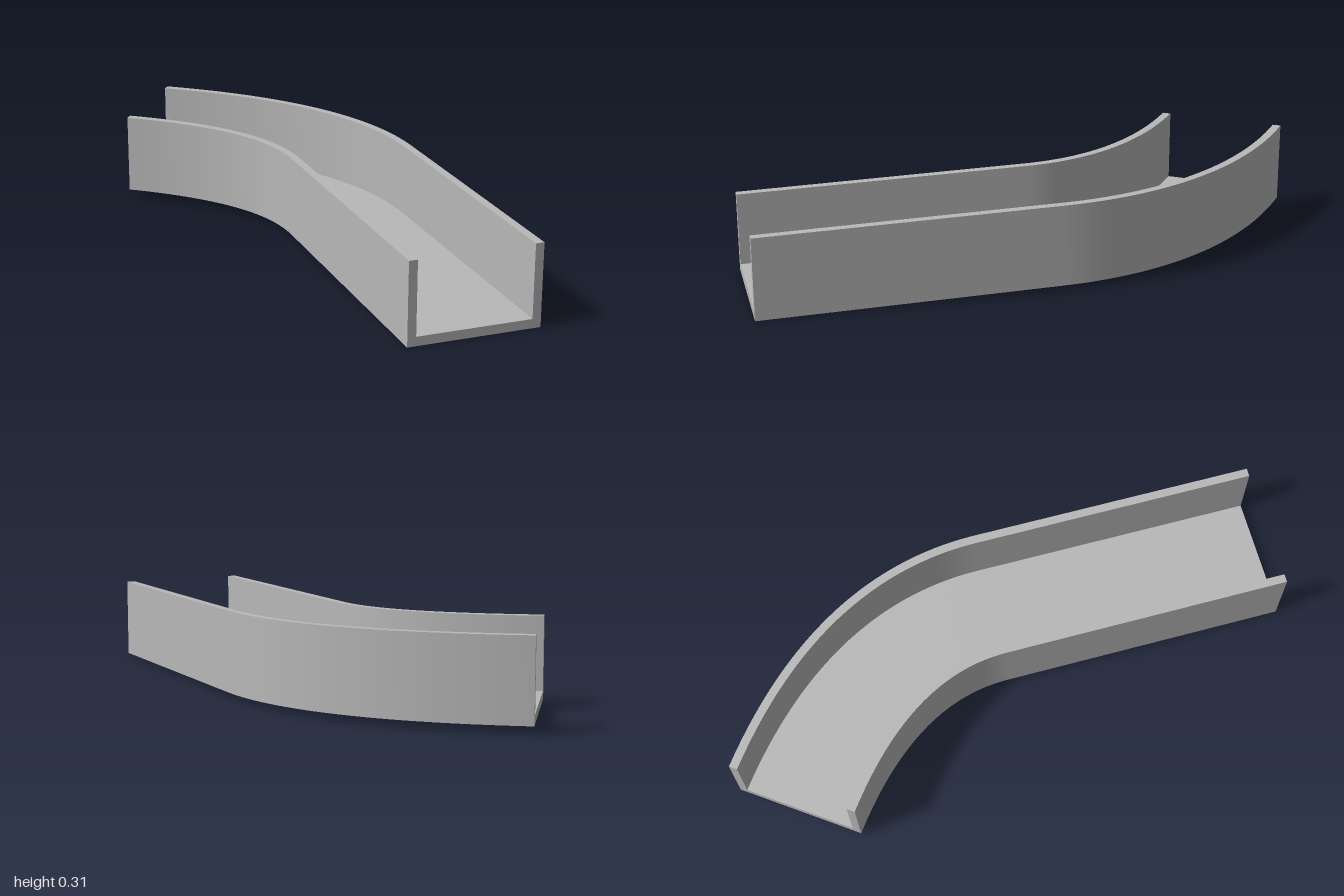
import * as THREE from 'three';

// Channel cross-section: half width, height, wall thickness, floor thickness
const W = 0.2245, H = 0.279, T = 0.029, F = 0.031;
const OUTLINE = [
  [-W, 0], [W, 0], [W, H], [W - T, H], [W - T, F], [T - W, F], [T - W, H], [-W, H],
].map(([x, y]) => new THREE.Vector2(x, y));

// Path: a gently rising straight run, then a bend towards -x
function makeRings() {
  const start = new THREE.Vector3(0.2025, 0, 1);
  const joint = new THREE.Vector3(0.2025, 0.016, 0);
  const bend = new THREE.QuadraticBezierCurve3(
    joint, new THREE.Vector3(0.2025, 0.023, -0.457), new THREE.Vector3(-0.3, 0.029, -0.818));
  const steps = 40;
  const rings = [];
  const addRing = (p, d) => {
    const side = new THREE.Vector3(-d.z, 0, d.x).normalize();
    rings.push(OUTLINE.map((o) => p.clone().addScaledVector(side, o.x).setY(p.y + o.y)));
  };
  addRing(start, new THREE.Vector3(0, 0, -1));
  for (let i = 0; i <= steps; i++) addRing(bend.getPoint(i / steps), bend.getTangent(i / steps));
  return rings;
}

function toGeometry(points, index) {
  const g = new THREE.BufferGeometry().setFromPoints(points);
  g.setIndex(index);
  g.computeVertexNormals();
  return g;
}

// Sweeps the chosen outline edges; smooth along the path, sharp across it
function sweepEdges(rings, edges) {
  const points = [], index = [];
  for (const e of edges) {
    const base = points.length;
    rings.forEach((r) => points.push(r[e], r[(e + 1) % r.length]));
    for (let i = 0; i < rings.length - 1; i++) {
      const a = base + i * 2;
      index.push(a, a + 2, a + 1, a + 1, a + 2, a + 3);
    }
  }
  return toGeometry(points, index);
}

// Closes one end of the channel
function endCap(ring, flip) {
  const faces = THREE.ShapeUtils.triangulateShape(OUTLINE, []);
  return toGeometry(ring, faces.flatMap(([a, b, c]) => (flip ? [a, c, b] : [a, b, c])));
}

export function createModel() {
  const group = new THREE.Group();
  group.name = 'curvedChannel';
  const grey = new THREE.MeshStandardMaterial({ color: 0xb8b8b8 });
  grey.name = 'grey';
  const rings = makeRings();

  const add = (name, geometry) => {
    const mesh = new THREE.Mesh(geometry, grey);
    mesh.name = name;
    group.add(mesh);
  };
  add('floor', sweepEdges(rings, [0, 4]));
  add('leftWall', sweepEdges(rings, [1, 2, 3]));
  add('rightWall', sweepEdges(rings, [5, 6, 7]));
  add('frontEnd', endCap(rings[0], false));
  add('backEnd', endCap(rings[rings.length - 1], true));
  return group;
}
